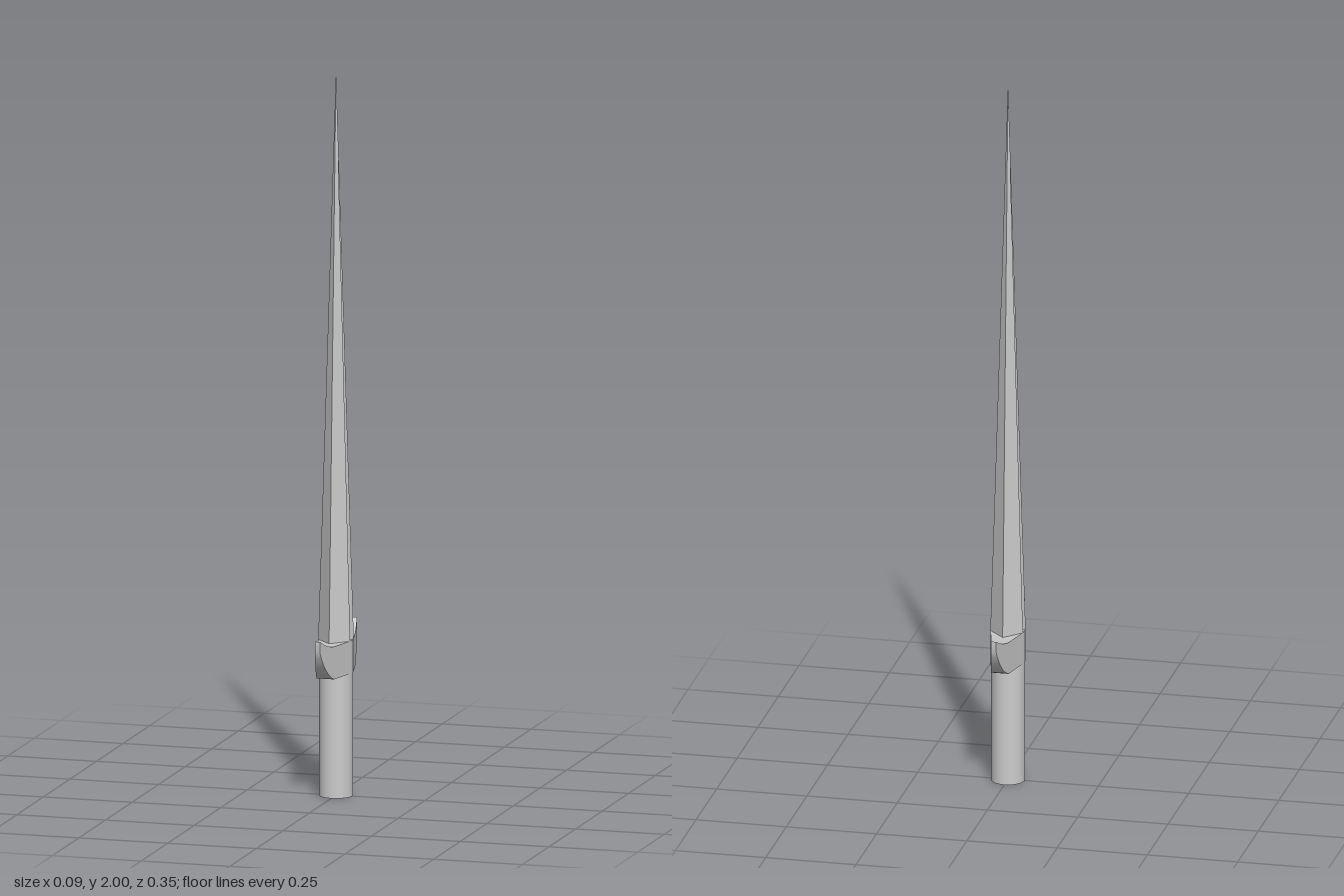
import * as THREE from 'three';
import { toCreasedNormals } from 'three/addons/utils/BufferGeometryUtils.js';

const GUARD_BOTTOM = 0.34, GUARD_TOP = 0.43, TIP = 2, RADIUS = 0.046;

// Tapered blade: an eight-point cross-section with grooved flats, drawn to a point
function bladeGeometry() {
  const ring = [
    [0, 0.065], [0.045, 0.017], [0.037, 0], [0.045, -0.017],
    [0, -0.065], [-0.045, -0.017], [-0.037, 0], [-0.045, 0.017],
  ];
  const positions = [];
  ring.forEach(([x, z], i) => {
    const [nx, nz] = ring[(i + 1) % ring.length];
    positions.push(x, GUARD_TOP, z, nx, GUARD_TOP, nz, 0, TIP, 0); // side
    positions.push(nx, GUARD_TOP, nz, x, GUARD_TOP, z, 0, GUARD_TOP, 0); // base
  });
  const geometry = new THREE.BufferGeometry();
  geometry.setAttribute('position', new THREE.Float32BufferAttribute(positions, 3));
  geometry.computeVertexNormals();
  return geometry;
}

// Upswept guard arm: side profile extruded, then narrowed towards its end
function armGeometry() {
  const shape = new THREE.Shape();
  shape.moveTo(0.011, GUARD_BOTTOM);
  shape.lineTo(0.1, GUARD_BOTTOM);
  shape.quadraticCurveTo(0.147, 0.36, 0.175, 0.425);
  shape.lineTo(0.175, 0.457);
  shape.quadraticCurveTo(0.14, 0.435, 0.1, GUARD_TOP);
  shape.lineTo(0.011, GUARD_TOP);
  const geometry = new THREE.ExtrudeGeometry(shape, { depth: 2, bevelEnabled: false, curveSegments: 8 });
  const p = geometry.attributes.position;
  for (let i = 0; i < p.count; i++) {
    const z = p.getX(i);
    const halfWidth = 0.048 - 0.233 * z;
    p.setXYZ(i, (1 - p.getZ(i)) * halfWidth, p.getY(i), z);
  }
  return toCreasedNormals(geometry, 0.5);
}

export function createModel() {
  const group = new THREE.Group();
  const material = new THREE.MeshStandardMaterial({ color: 0xcccccc });
  const add = (name, geometry, parent = group) => {
    const mesh = new THREE.Mesh(geometry, material);
    mesh.name = name;
    parent.add(mesh);
    return mesh;
  };

  add('blade', bladeGeometry());

  // Round grip, running up through the guard
  add('grip', new THREE.CylinderGeometry(RADIUS, RADIUS, GUARD_TOP, 32).translate(0, GUARD_TOP / 2, 0));

  // Two matching guard arms
  const guard = new THREE.Group();
  guard.name = 'guard';
  group.add(guard);
  const arm = armGeometry();
  add('frontArm', arm, guard);
  add('backArm', arm, guard).rotation.y = Math.PI;

  return group;
}
